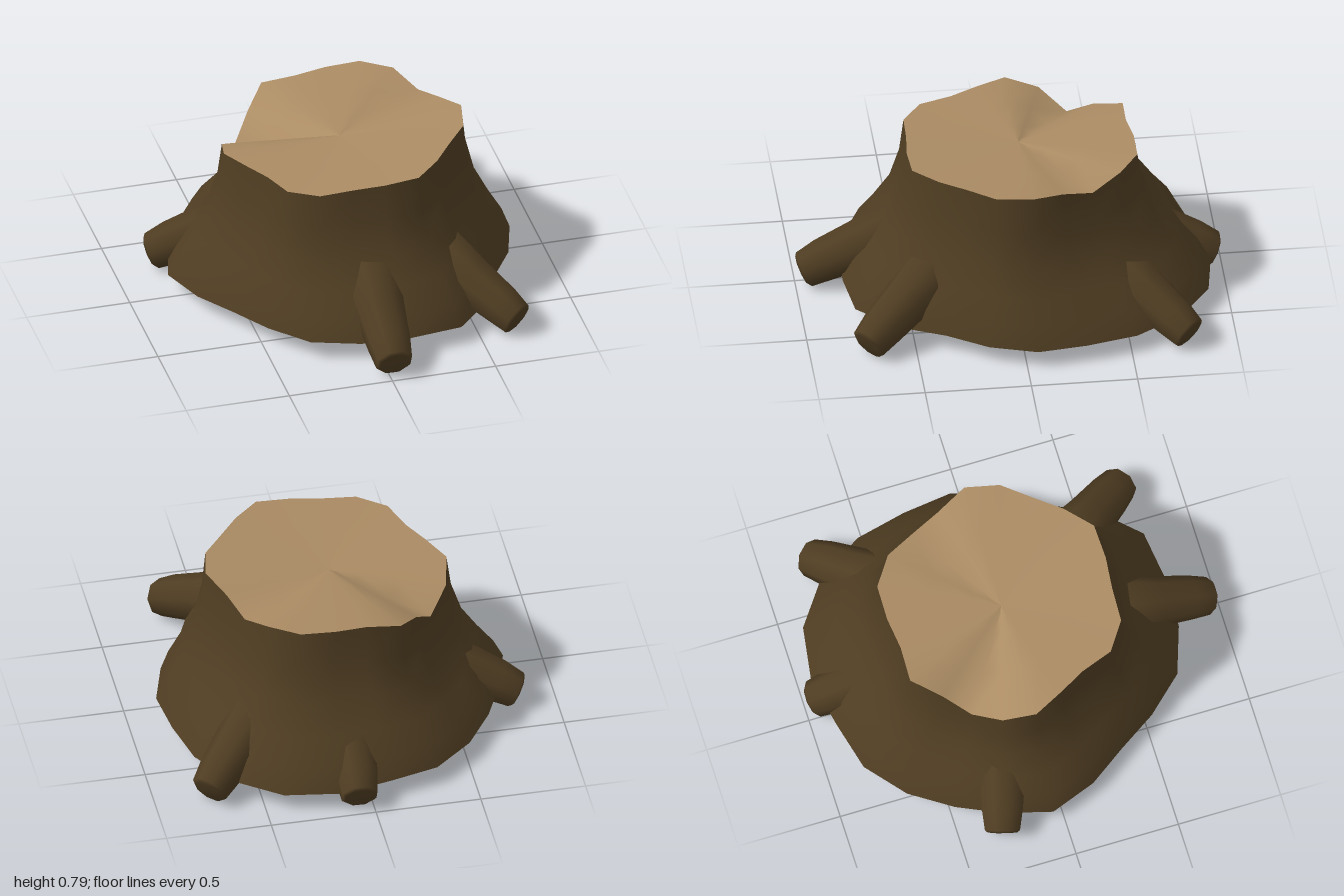
import * as THREE from 'three';

const SIDES = 22, CX = 0.03, CZ = -0.05;

// Radius around the stump at ground level and at the cut, plus the height of the cut
const BASE_R = [.825, .79, .76, .83, .89, .85, .84, .83, .77, .74, .78, .83, .80, .80, .83, .86, .85, .90, .935, .92, .88, .83];
const TOP_R = [.59, .58, .54, .55, .58, .54, .525, .565, .56, .50, .51, .56, .55, .51, .515, .57, .52, .54, .585, .58, .55, .54];
const TOP_Y = [.80, .79, .785, .777, .77, .758, .747, .737, .73, .727, .725, .72, .675, .595, .69, .75, .765, .775, .783, .78, .73, .77];

// Joins closed rings of points into one smooth surface
function loft(rings) {
  const n = rings[0].length, index = [];
  for (let r = 0; r < rings.length - 1; r++) {
    for (let k = 0; k < n; k++) {
      const a = r * n + k, b = r * n + (k + 1) % n;
      index.push(a, a + n, b, b, a + n, b + n);
    }
  }
  const geometry = new THREE.BufferGeometry().setFromPoints(rings.flat());
  geometry.setIndex(index);
  geometry.computeVertexNormals();
  return geometry;
}

function stumpRing(radius, height) {
  return Array.from({ length: SIDES }, (_, k) => {
    const a = k / SIDES * Math.PI * 2;
    return new THREE.Vector3(CX + radius(k) * Math.cos(a), height(k), CZ + radius(k) * Math.sin(a));
  });
}

// Flared trunk wall, open underneath: [share of height, share of taper]
function barkGeometry() {
  const profile = [[0, 0], [.15, .17], [.31, .45], [.5, .74], [.74, .92], [1, 1]];
  return loft(profile.map(([h, t]) => stumpRing(
    k => THREE.MathUtils.lerp(BASE_R[k], TOP_R[k], t),
    k => THREE.MathUtils.lerp(0.097, TOP_Y[k], h))));
}

// Uneven cut face, following the rim and settling towards the middle
function cutGeometry() {
  return loft([1, .6, .25, .06, 0.001].map(s => stumpRing(
    k => TOP_R[k] * s,
    k => THREE.MathUtils.lerp(0.73, TOP_Y[k], s))));
}

// Root running from the heart of the stump, swelling, then tapering to a blunt tip
function rootGeometry(tipX, tipZ) {
  const dir = new THREE.Vector3(tipX - CX, 0, tipZ - CZ);
  const length = dir.length();
  dir.normalize();
  // [distance from the centre, height, radius]
  const path = [
    [0, .385, .001], [0, .385, .11], [length - .5, .30, .155], [length - .27, .205, .12],
    [length - .1, .13, .104], [length - .01, .083, .089], [length, .078, .074], [length, .078, .001],
  ];
  const slope = Math.atan2(-.42, .9);
  const along = dir.clone().multiplyScalar(Math.cos(slope)).setY(Math.sin(slope));
  const up = dir.clone().multiplyScalar(-Math.sin(slope)).setY(Math.cos(slope));
  const side = up.clone().cross(along);
  return loft(path.map(([d, y, r]) => Array.from({ length: 8 }, (_, k) => {
    const a = (k + .5) / 8 * Math.PI * 2;
    return new THREE.Vector3(CX, y, CZ).addScaledVector(dir, d)
      .addScaledVector(up, r * Math.cos(a)).addScaledVector(side, r * Math.sin(a));
  })));
}

export function createModel() {
  const bark = new THREE.MeshStandardMaterial({ color: 0x4f3d22, side: THREE.DoubleSide });
  bark.name = 'bark brown';
  const wood = new THREE.MeshStandardMaterial({ color: 0xab8c64, side: THREE.DoubleSide });
  wood.name = 'cut wood tan';

  const model = new THREE.Group();
  model.name = 'treeStump';
  const add = (name, geometry, material) => {
    const mesh = new THREE.Mesh(geometry, material);
    mesh.name = name;
    model.add(mesh);
  };

  add('trunkBark', barkGeometry(), bark);
  add('cutTop', cutGeometry(), wood);

  // Roots, by the position of their tips
  const roots = {
    frontRoot: [.02, .967], frontLeftRoot: [.68, .735], backLeftRoot: [.755, -.775],
    backRoot: [.07, -.967], rightRoot: [-.82, -.305],
  };
  for (const [name, [x, z]] of Object.entries(roots)) add(name, rootGeometry(x, z), bark);
  return model;
}
